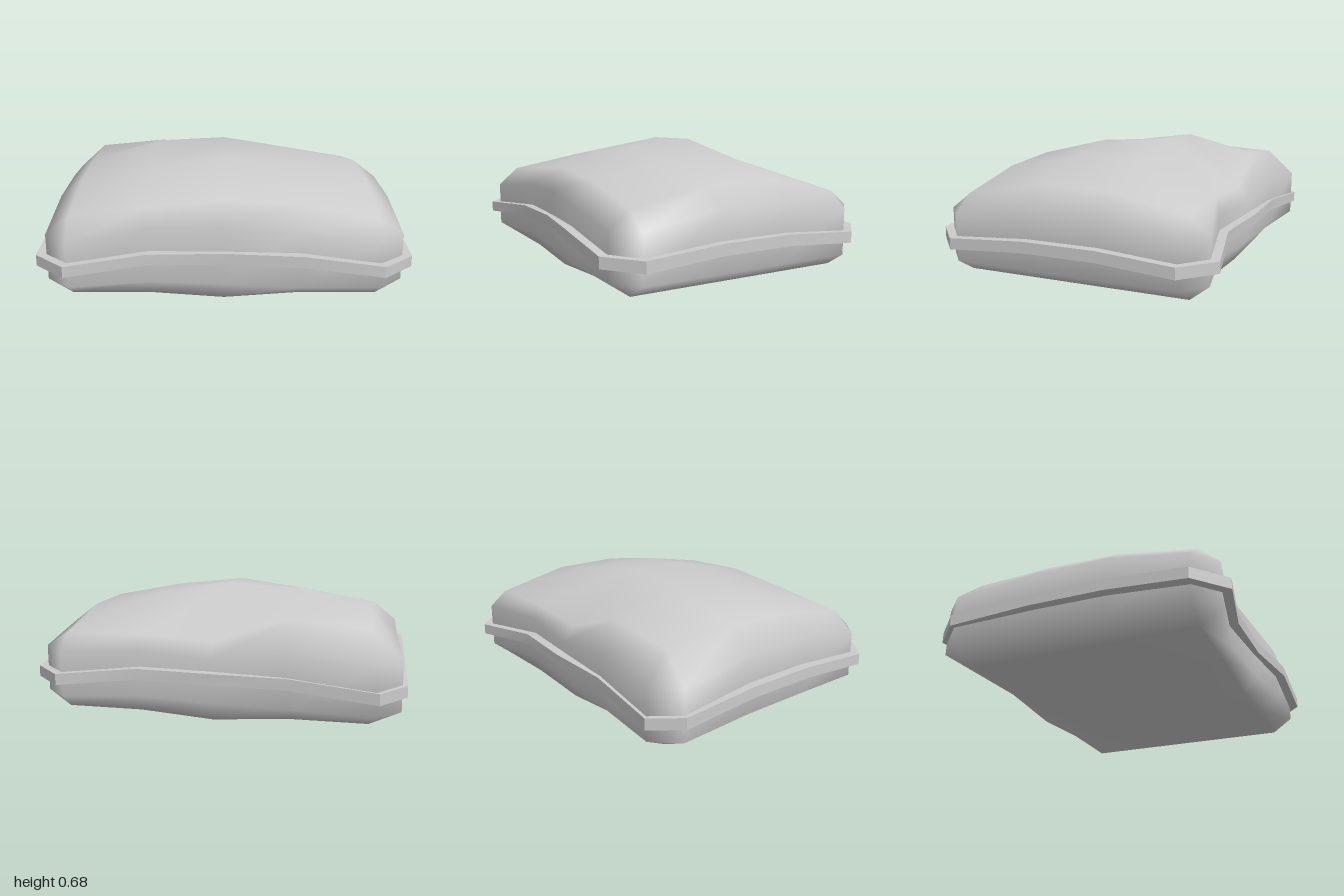
import * as THREE from 'three';
import { toCreasedNormals } from 'three/addons/utils/BufferGeometryUtils.js';

const material = new THREE.MeshStandardMaterial({ color: 0xcccccc });

// Top panel: five columns across, four rows from front to back
const columns = [-0.81, -0.4, 0, 0.4, 0.81];
const rows = [0.62, 0.2, -0.2, -0.62];
const crown = [
  [0.46, 0.51, 0.55, 0.53, 0.45],
  [0.53, 0.60, 0.655, 0.61, 0.53],
  [0.54, 0.66, 0.68, 0.615, 0.53],
  [0.52, 0.56, 0.42, 0.45, 0.44],
];

// Side wall outline, counterclockwise from above, one line per side.
// Each point: x, z, wall top height, seam height, seam overhang
const outline = {
  front: [
    [-0.81, 0.735, 0.36, 0.25, 0.05], [-0.4, 0.66, 0.41, 0.285, 0.05], [0, 0.69, 0.43, 0.295, 0.03],
    [0.4, 0.735, 0.42, 0.305, 0.05], [0.81, 0.735, 0.36, 0.25, 0.05],
  ],
  right: [
    [0.94, 0.62, 0.36, 0.245, 0.05], [0.94, 0.2, 0.43, 0.275, 0.05],
    [0.94, -0.2, 0.43, 0.275, 0.05], [0.94, -0.6, 0.36, 0.245, 0.05],
  ],
  back: [
    [0.81, -0.72, 0.36, 0.245, 0.05], [0.4, -0.64, 0.36, 0.275, 0.05], [0, -0.685, 0.34, 0.28, 0.05],
    [-0.4, -0.715, 0.4, 0.275, 0.02], [-0.85, -0.77, 0.37, 0.24, 0.02],
  ],
  left: [
    [-0.972, -0.64, 0.37, 0.25, 0.025], [-0.94, -0.2, 0.43, 0.28, 0.05],
    [-0.935, 0.2, 0.43, 0.28, 0.055], [-0.935, 0.62, 0.36, 0.25, 0.055],
  ],
};
const wall = Object.values(outline).flat();

// Panel corner or edge point next to each outline point, as [row, column]
const border = [
  ...[0, 1, 2, 3, 4].map((c) => [0, c]),
  ...[0, 1, 2, 3].map((r) => [r, 4]),
  ...[4, 3, 2, 1, 0].map((c) => [3, c]),
  ...[3, 2, 1, 0].map((r) => [r, 0]),
];

function buildGeometry(points, faces) {
  const geometry = new THREE.BufferGeometry();
  geometry.setAttribute('position', new THREE.Float32BufferAttribute(points.flat(), 3));
  geometry.setIndex(faces);
  geometry.computeVertexNormals();
  return geometry;
}

function addQuad(faces, a, b, c, d) {
  if (a !== b) faces.push(a, b, c);
  if (c !== d) faces.push(a, c, d);
}

// Soft body: domed top panel, upright wall and nearly flat base
function bodyGeometry() {
  const points = [];
  const faces = [];
  const panel = (height) => {
    const start = points.length;
    rows.forEach((z, r) => columns.forEach((x, c) => points.push([x, height(r, c), z])));
    return (r, c) => start + r * columns.length + c;
  };
  const top = panel((r, c) => crown[r][c]);
  const base = panel((r, c) => (c === 2 ? 0 : 0.03));
  for (let r = 0; r < 3; r++) {
    for (let c = 0; c < 4; c++) {
      addQuad(faces, top(r, c), top(r, c + 1), top(r + 1, c + 1), top(r + 1, c));
      addQuad(faces, base(r + 1, c), base(r + 1, c + 1), base(r, c + 1), base(r, c));
    }
  }
  const low = points.length;
  wall.forEach(([x, z]) => points.push([x, 0.11, z]));
  const high = points.length;
  wall.forEach(([x, z, y]) => points.push([x, y, z]));
  wall.forEach((_, i) => {
    const j = (i + 1) % wall.length;
    addQuad(faces, base(...border[i]), base(...border[j]), low + j, low + i);
    addQuad(faces, low + i, low + j, high + j, high + i);
    addQuad(faces, high + i, high + j, top(...border[j]), top(...border[i]));
  });
  return buildGeometry(points, faces);
}

// Seam band: rectangular section swept around the outline
function seamGeometry() {
  const points = [];
  const faces = [];
  const thickness = 0.06;
  for (const [name, side] of Object.entries(outline)) {
    const [nx, nz] = { front: [0, 1], right: [1, 0], back: [0, -1], left: [-1, 0] }[name];
    for (const [x, z, , y, overhang] of side) {
      const outer = [x * 1.015 + nx * overhang, z * 1.015 + nz * overhang];
      if (nx) outer[0] = x + nx * overhang;
      else outer[1] = z + nz * overhang;
      const inner = [x * 0.97, z * 0.97];
      points.push(
        [inner[0], y, inner[1]], [inner[0], y - thickness, inner[1]],
        [outer[0], y - thickness, outer[1]], [outer[0], y, outer[1]],
      );
    }
  }
  for (let i = 0; i < wall.length; i++) {
    const a = i * 4;
    const b = ((i + 1) % wall.length) * 4;
    for (let k = 0; k < 4; k++) {
      const n = (k + 1) % 4;
      addQuad(faces, a + k, b + k, b + n, a + n);
    }
  }
  return toCreasedNormals(buildGeometry(points, faces), 0.5);
}

export function createModel() {
  const group = new THREE.Group();
  group.name = 'cushion';
  const parts = { cushionBody: bodyGeometry(), seamBand: seamGeometry() };
  for (const [name, geometry] of Object.entries(parts)) {
    const mesh = new THREE.Mesh(geometry, material);
    mesh.name = name;
    group.add(mesh);
  }
  return group;
}
